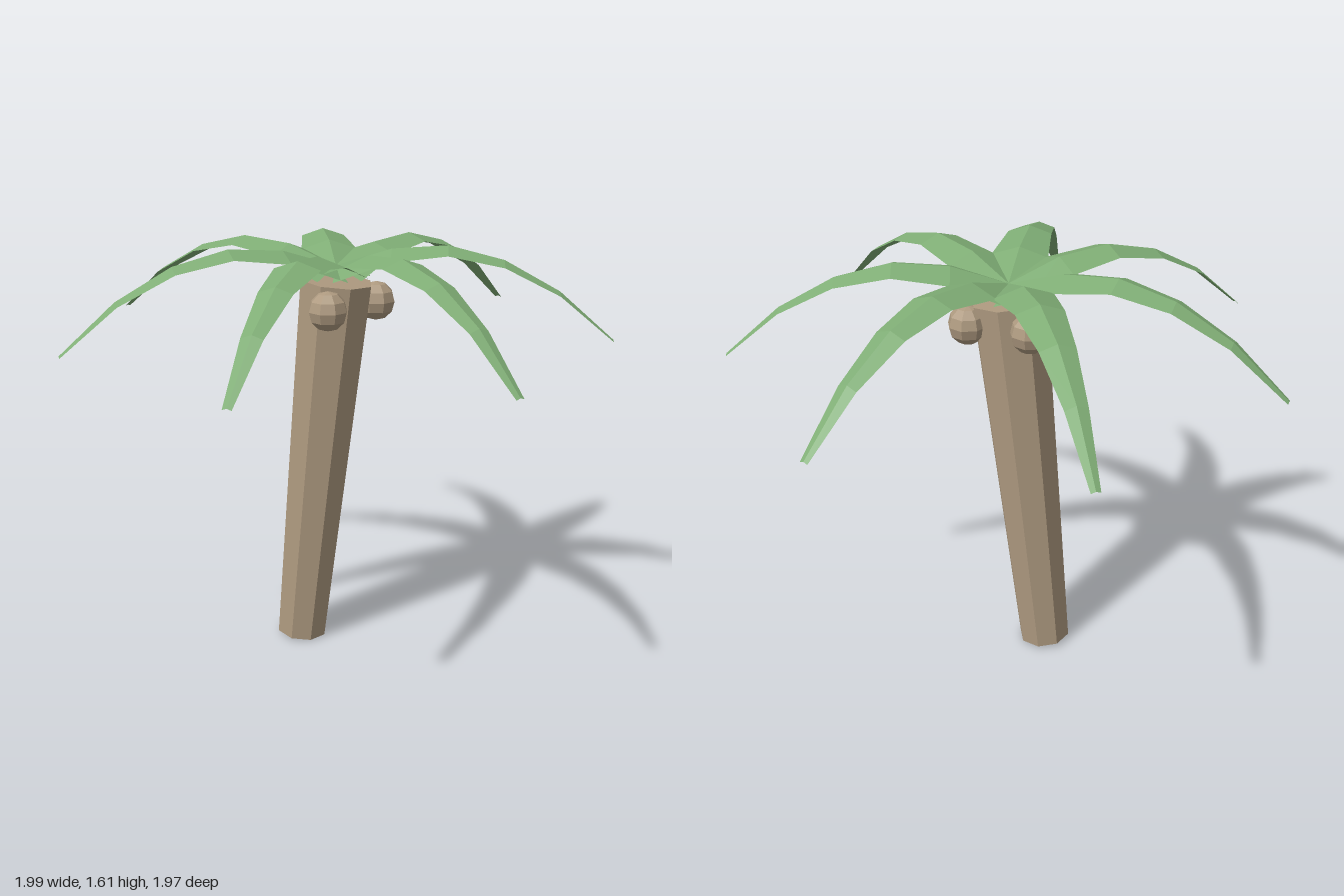
import * as THREE from 'three';

const leafGreen = new THREE.MeshStandardMaterial({ color: 0x7fad75, flatShading: true, side: THREE.DoubleSide });
leafGreen.name = 'leafGreen';
const barkBrown = new THREE.MeshStandardMaterial({ color: 0xae9a80, flatShading: true });
barkBrown.name = 'barkBrown';

const CROWN = new THREE.Vector3(0.01, 0, -0.03);

// Folded frond along +x: a raised midrib with two drooping, tapering sides
function frondGeometry() {
  const ribHeights = [1.53, 1.595, 1.61, 1.56, 1.45, 1.275];
  const length = 1.02, last = ribHeights.length - 1;
  const positions = [], index = [];
  ribHeights.forEach((y, i) => {
    const t = i / last;
    const half = THREE.MathUtils.lerp(0.128, 0.016, t);
    const low = y - half * 0.33;
    positions.push(length * t, low, -half, length * t, y, 0, length * t, low, half);
    if (i === last) return;
    for (let s = 0; s < 2; s++) {
      const a = i * 3 + s, b = a + 1, c = a + 3, d = a + 4;
      index.push(a, b, c, b, d, c);
    }
  });
  const g = new THREE.BufferGeometry();
  g.setAttribute('position', new THREE.Float32BufferAttribute(positions, 3));
  g.setIndex(index);
  g.computeVertexNormals();
  return g;
}

export function createModel() {
  const palm = new THREE.Group();
  palm.name = 'palmTree';

  // Leaning trunk, wider at the top
  const bottom = new THREE.Vector3(-0.14, 0.012, -0.03);
  const top = new THREE.Vector3(0.01, 1.475, -0.03);
  const trunk = new THREE.Mesh(new THREE.CylinderGeometry(0.14, 0.102, bottom.distanceTo(top), 8), barkBrown);
  trunk.name = 'trunk';
  trunk.position.lerpVectors(bottom, top, 0.5);
  trunk.rotation.z = -Math.atan2(top.x - bottom.x, top.y - bottom.y);
  palm.add(trunk);

  // Ring of seven fronds
  const fronds = new THREE.Group();
  fronds.name = 'fronds';
  fronds.position.copy(CROWN);
  const frond = frondGeometry();
  for (let i = 0; i < 7; i++) {
    const leaf = new THREE.Mesh(frond, leafGreen);
    leaf.name = 'frond';
    leaf.rotation.y = -THREE.MathUtils.degToRad(85.5) + (i * Math.PI * 2) / 7;
    fronds.add(leaf);
  }
  palm.add(fronds);

  // Three coconuts under the crown
  const nut = new THREE.SphereGeometry(0.073, 8, 6);
  for (const [x, y, z] of [[0.04, 1.39, 0.115], [0.137, 1.395, -0.115], [-0.1, 1.4, -0.145]]) {
    const coconut = new THREE.Mesh(nut, barkBrown);
    coconut.name = 'coconut';
    coconut.position.set(x, y, z);
    palm.add(coconut);
  }
  return palm;
}
